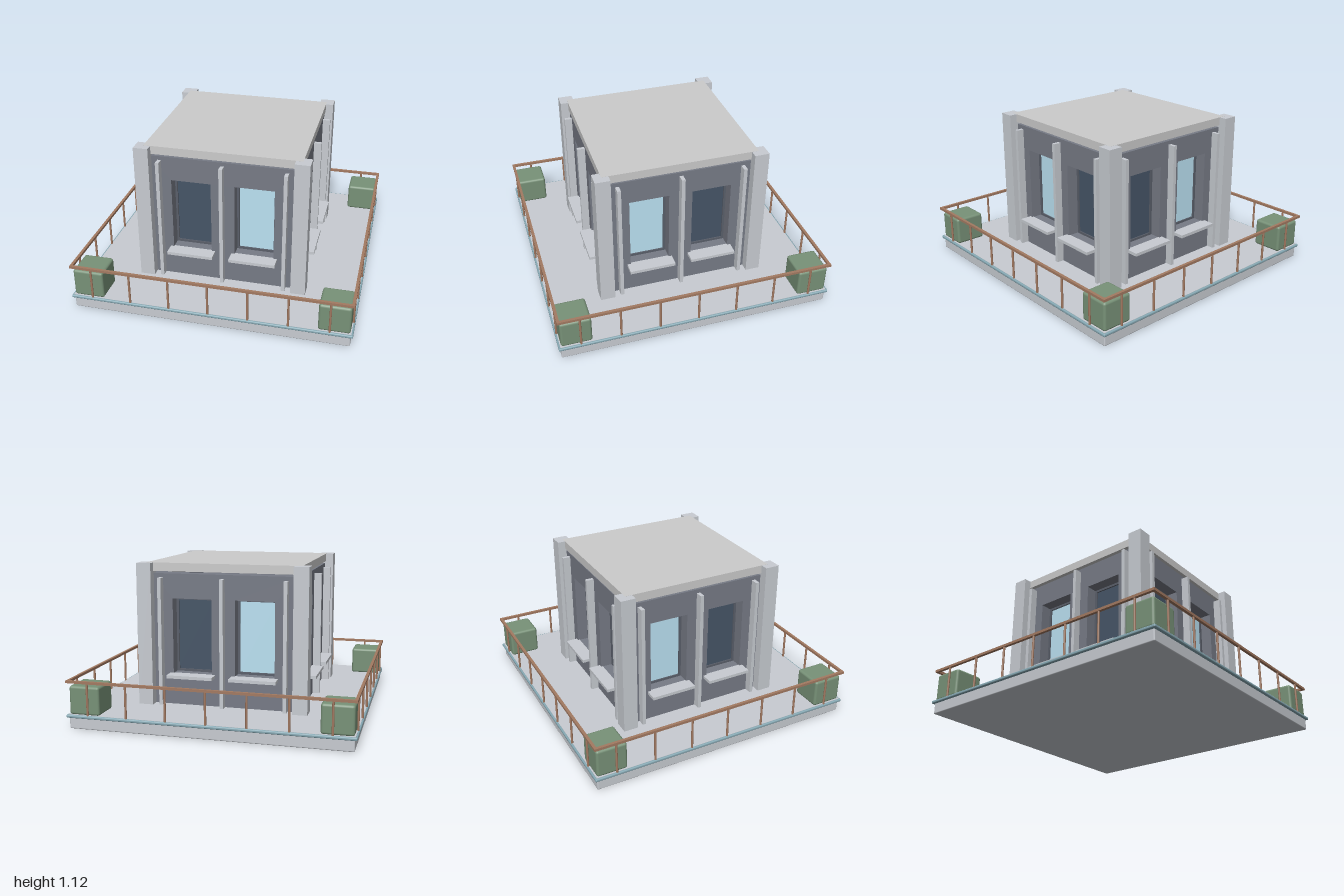
import * as THREE from 'three';
import { RoundedBoxGeometry } from 'three/addons/geometries/RoundedBoxGeometry.js';

const material = (color) => new THREE.MeshStandardMaterial({ color });

export function createModel() {
  const model = new THREE.Group();
  model.name = 'pavilion';
  const stone = material(0xc8ccd2), wallGrey = material(0x777b86), grey = material(0xcccccc);
  const teal = material(0x87a9b4), wood = material(0xa37a62), leaf = material(0x789278);
  const darkGlass = material(0x465567), lightGlass = material(0xbbe2f3), frameGrey = material(0x5a5f6a);

  const add = (parent, name, geometry, mat, x, y, z) => {
    const mesh = new THREE.Mesh(geometry, mat);
    mesh.name = name;
    mesh.position.set(x, y, z);
    parent.add(mesh);
    return mesh;
  };
  // Box given by its centre in x and z and its bottom and top in y
  const box = (parent, name, mat, w, d, y0, y1, x, z) =>
    add(parent, name, new THREE.BoxGeometry(w, y1 - y0, d), mat, x, (y0 + y1) / 2, z);
  const rectangle = (Type, x0, y0, x1, y1) => new Type([
    new THREE.Vector2(x0, y0), new THREE.Vector2(x1, y0),
    new THREE.Vector2(x1, y1), new THREE.Vector2(x0, y1),
  ]);
  // Upright rectangular panel with rectangular openings
  const panel = (outer, holes, depth) => {
    const shape = rectangle(THREE.Shape, ...outer);
    shape.holes = holes.map((h) => rectangle(THREE.Path, ...h));
    return new THREE.ExtrudeGeometry(shape, { depth, bevelEnabled: false });
  };

  // Platform
  add(model, 'baseSlab', new RoundedBoxGeometry(1.966, 0.085, 1.966, 2, 0.008), stone, 0, 0.0425, 0);
  add(model, 'platformTrim', new RoundedBoxGeometry(2, 0.022, 2, 2, 0.008), teal, 0, 0.09, 0);
  box(model, 'deck', stone, 1.975, 1.975, 0.085, 0.103, 0, 0);

  // Roof and corner pillars
  box(model, 'roof', grey, 1.118, 1.118, 1.064, 1.124, 0, 0);
  for (const sx of [-1, 1]) for (const sz of [-1, 1]) {
    box(model, 'cornerPillar', stone, 0.106, 0.106, 0.1, 1.123, sx * 0.562, sz * 0.562);
    add(model, 'hedge', new RoundedBoxGeometry(0.22, 0.204, 0.22, 2, 0.018), leaf, sx * 0.871, 0.201, sz * 0.871);
  }

  // One side: wall, two windows, pilasters and railing
  const makeSide = (lightSide) => {
    const side = new THREE.Group();
    const openings = [-1, 1].map((s) => [s * 0.228 - 0.143, 0.33, s * 0.228 + 0.143, 0.872]);
    add(side, 'wall', panel([-0.53, 0.1, 0.53, 1.048], openings, 0.11), wallGrey, 0, 0, 0.44);
    for (const s of [-1, 1]) {
      const x = s * 0.228;
      box(side, 'windowPane', s === lightSide ? lightGlass : darkGlass, 0.28, 0.015, 0.33, 0.872, x, 0.45);
      add(side, 'windowFrame',
        panel([-0.143, 0.33, 0.143, 0.872], [[-0.126, 0.347, 0.126, 0.855]], 0.012),
        frameGrey, x, 0, 0.455);
      box(side, 'windowSill', stone, 0.335, 0.1, 0.31, 0.332, x, 0.588);
    }
    for (const x of [-0.452, 0, 0.452]) box(side, 'pilaster', stone, 0.026, 0.06, 0.105, 1.02, x, 0.575);

    box(side, 'handrail', wood, 1.994, 0.02, 0.325, 0.343, 0, 0.987);
    for (let i = -3; i <= 3; i++) {
      add(side, 'railPost', new THREE.CylinderGeometry(0.008, 0.008, 0.23, 10), wood, i * 0.281, 0.213, 0.987);
    }
    return side;
  };
  ['frontSide', 'rightHandSide', 'backSide', 'leftHandSide'].forEach((name, i) => {
    const side = makeSide(i % 2 === 0 ? 1 : -1);
    side.name = i === 1 ? 'leftSide' : i === 3 ? 'rightSide' : name;
    side.rotation.y = i * Math.PI / 2;
    model.add(side);
  });
  return model;
}
